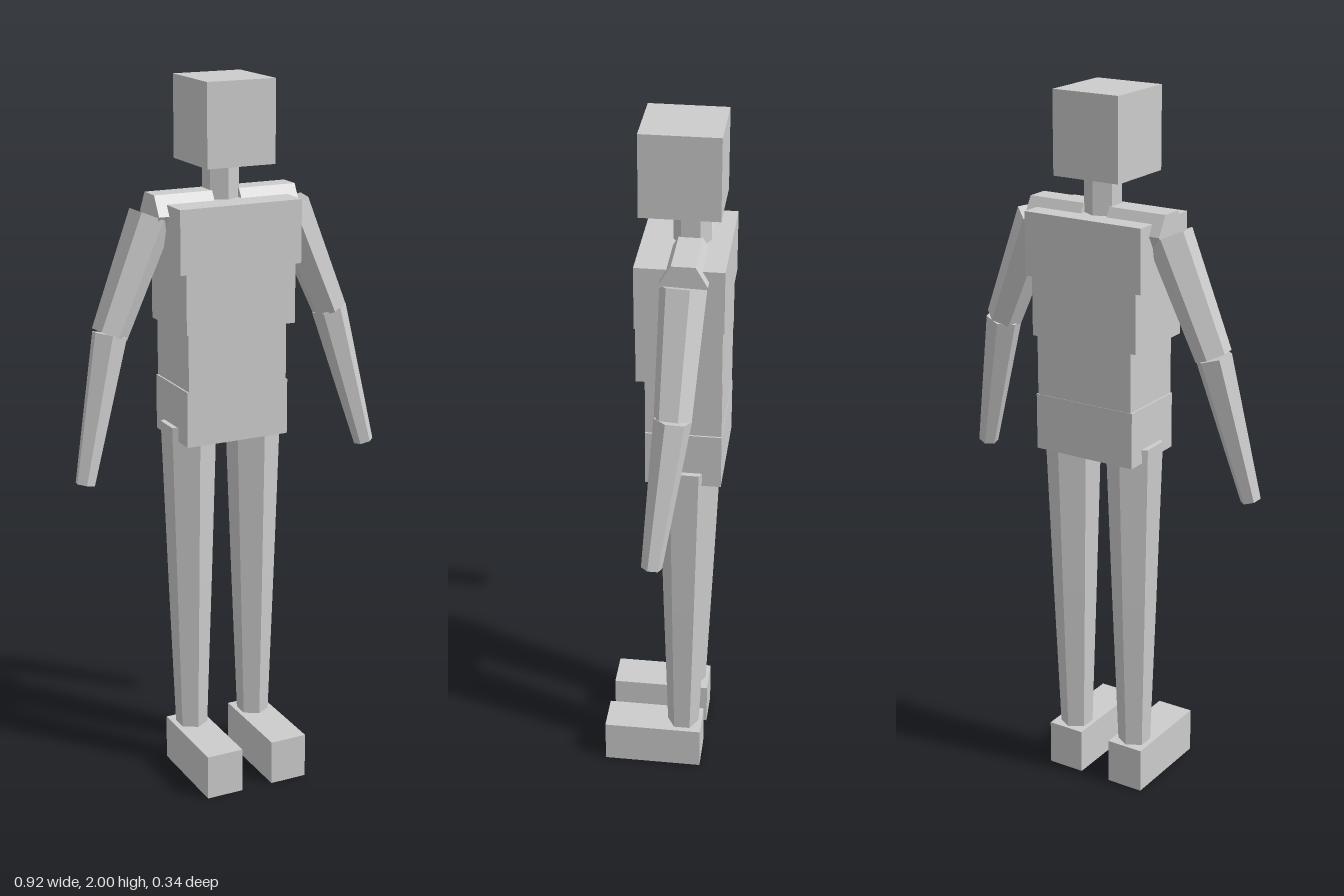
import * as THREE from 'three';

export function createModel() {
  const model = new THREE.Group();
  const grey = new THREE.MeshStandardMaterial({ color: 0xcccccc, flatShading: true });
  grey.name = 'plain grey';

  function add(name, geometry) {
    const mesh = new THREE.Mesh(geometry, grey);
    mesh.name = name;
    model.add(mesh);
    return mesh;
  }

  // Box given by its limits on each axis
  function block(name, [x0, x1], [y0, y1], [z0, z1]) {
    add(name, new THREE.BoxGeometry(x1 - x0, y1 - y0, z1 - z0))
      .position.set((x0 + x1) / 2, (y0 + y1) / 2, (z0 + z1) / 2);
  }

  // Tapered six-sided limb between two points
  function limb(name, from, to, r0, r1, twist = 0) {
    const a = new THREE.Vector3(...from), b = new THREE.Vector3(...to);
    const geometry = new THREE.CylinderGeometry(r1, r0, a.distanceTo(b), 6);
    geometry.rotateY(twist);
    const mesh = add(name, geometry);
    mesh.position.copy(a).add(b).multiplyScalar(0.5);
    mesh.quaternion.setFromUnitVectors(new THREE.Vector3(0, 1, 0), b.sub(a).normalize());
  }

  // Head and neck
  block('head', [-0.1, 0.1], [1.775, 2], [-0.148, 0.063]);
  limb('neck', [0, 1.6, -0.065], [0, 1.78, -0.065], 0.05, 0.05);

  // Torso blocks
  block('chest', [-0.18, 0.18], [1.5, 1.675], [-0.168, 0.065]);
  block('ribs', [-0.163, 0.163], [1.335, 1.5], [-0.163, 0.064]);
  block('waist', [-0.148, 0.148], [1.17, 1.335], [-0.163, 0.042]);
  block('hips', [-0.153, 0.153], [1.013, 1.17], [-0.164, 0.042]);

  for (const side of [1, -1]) {
    const label = side > 0 ? 'left' : 'right';

    // Shoulder and arm
    const shoulder = [side * 0.205, 1.64, -0.065];
    const elbow = [side * 0.336, 1.332, -0.055];
    const wrist = [side * 0.434, 0.934, -0.012];
    limb(label + 'Shoulder', [side * 0.04, 1.646, -0.065], [side * 0.21, 1.646, -0.065], 0.0625, 0.0625);
    limb(label + 'UpperArm', shoulder, elbow, 0.062, 0.05);
    limb(label + 'Forearm', elbow, wrist, 0.05, 0.028);

    // Leg and foot
    limb(label + 'Thigh', [side * 0.1, 1.052, -0.066], [side * 0.1, 0.57, -0.063], 0.078, 0.062);
    limb(label + 'Shin', [side * 0.1, 0.57, -0.063], [side * 0.1, 0.1, -0.06], 0.062, 0.045);
    const xs = [side * 0.047, side * 0.156].sort((a, b) => a - b);
    block(label + 'Foot', xs, [0, 0.13], [-0.116, 0.168]);
  }
  return model;
}
